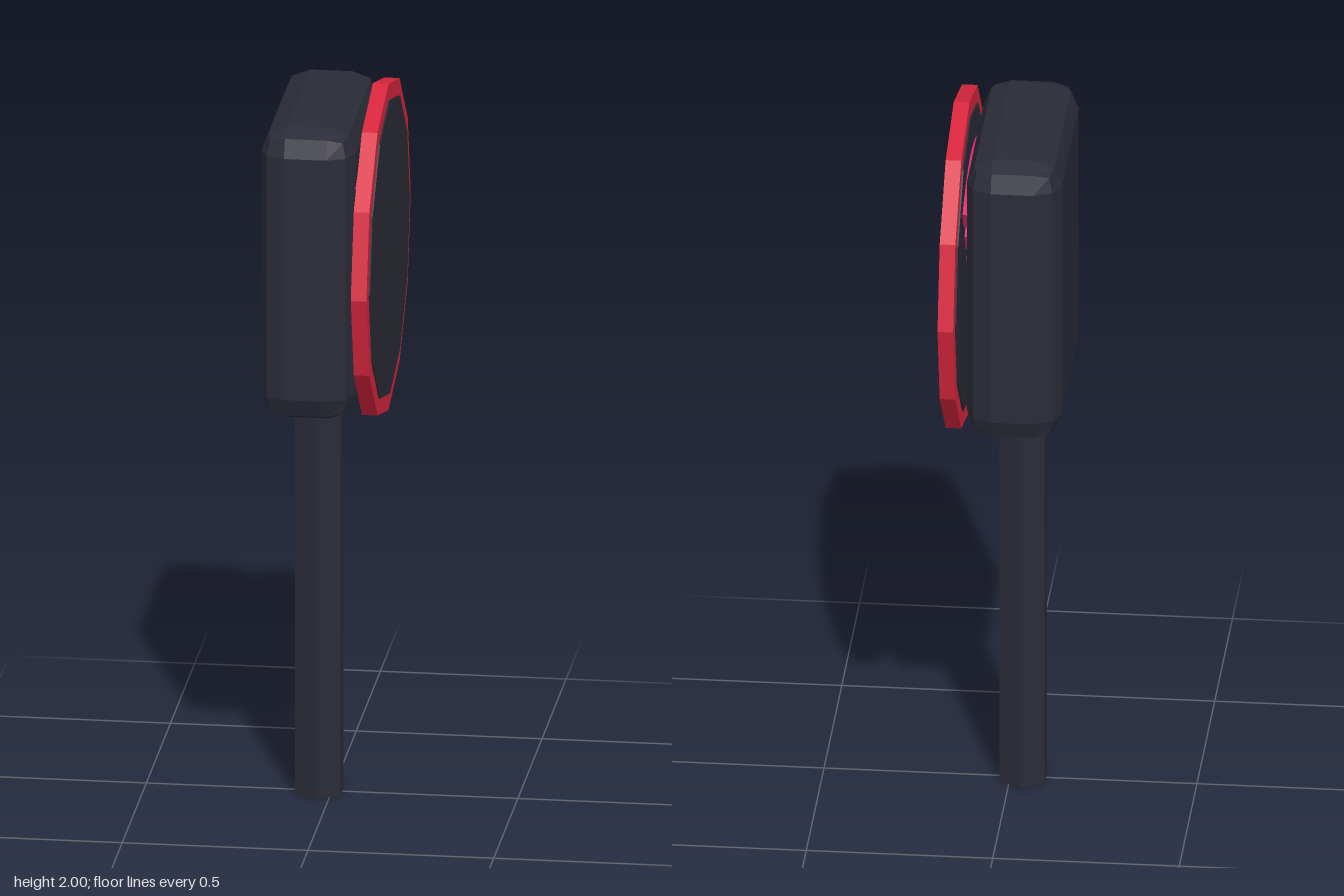
import * as THREE from 'three';
import { RoundedBoxGeometry } from 'three/addons/geometries/RoundedBoxGeometry.js';

export function createModel() {
  const group = new THREE.Group();
  const material = (name, color) => {
    const m = new THREE.MeshStandardMaterial({ color, flatShading: true });
    m.name = name;
    return m;
  };
  const dark = material('dark slate', 0x2b2b38);
  const red = material('red', 0xd7263d);
  const pink = material('pink', 0xd6246e);

  const add = (name, geometry, mat, x, y, z = 0) => {
    const mesh = new THREE.Mesh(geometry, mat);
    mesh.name = name;
    mesh.position.set(x, y, z);
    group.add(mesh);
    return mesh;
  };

  // Hexagonal post and bevelled housing
  add('post', new THREE.CylinderGeometry(0.07, 0.07, 1.16, 6), dark, -0.034, 0.58);
  add('housing', new RoundedBoxGeometry(0.254, 0.82, 0.612, 1, 0.07), dark, -0.033, 1.54);

  // Twelve-sided sign facing +x: red rim with a slightly thicker dark panel
  const disc = (radius, thickness) =>
    new THREE.CylinderGeometry(radius, radius, thickness, 12).rotateZ(-Math.PI / 2);
  add('signRim', disc(0.46, 0.042), red, 0.131, 1.54);
  add('signPanel', disc(0.413, 0.05), dark, 0.131, 1.54);

  // Raised arcs and dot on the housing, behind the sign
  const plate = (shape) =>
    new THREE.ExtrudeGeometry(shape, { depth: 0.016, bevelEnabled: false, curveSegments: 8 })
      .rotateY(Math.PI / 2);
  const half = 0.55;
  for (const [inner, outer] of [[0.176, 0.24], [0.29, 0.35], [0.4, 0.46]]) {
    const arc = new THREE.Shape();
    arc.absarc(0, 0, outer, Math.PI / 2 - half, Math.PI / 2 + half, false);
    arc.absarc(0, 0, inner, Math.PI / 2 + half, Math.PI / 2 - half, true);
    arc.closePath();
    add('raisedArc', plate(arc), pink, 0.09, 1.39);
  }
  const dot = new THREE.Shape();
  dot.absarc(0, 0, 0.04, 0, Math.PI * 2, false);
  add('raisedDot', plate(dot), pink, 0.09, 1.39);

  return group;
}
